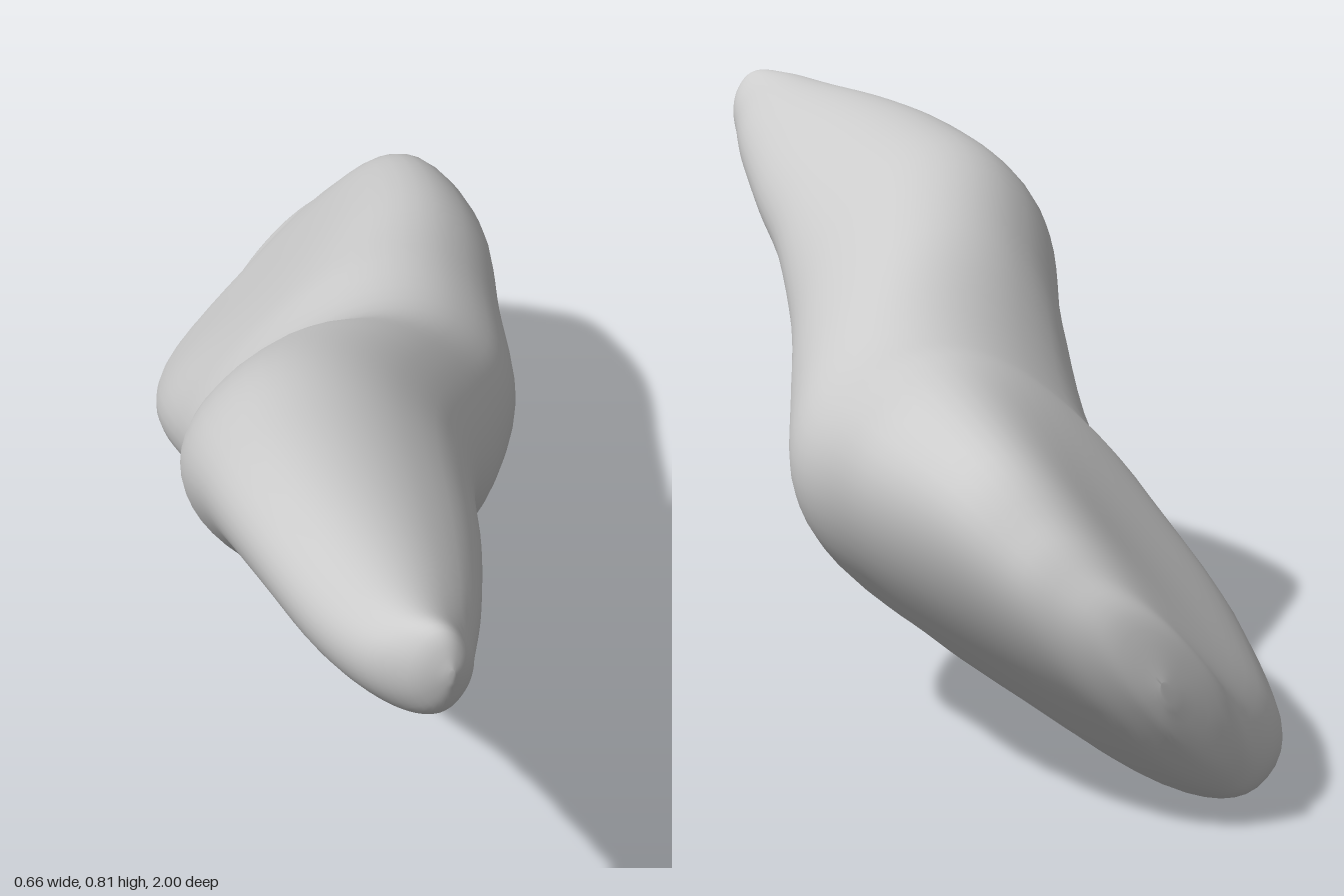
import * as THREE from 'three';

// Cross-sections from biting edge to root tip:
// z, x min, x max, y min, y max, thickness / width, hollow of the inner face
const SECTIONS = [
  [-1.0, 0.09, 0.11, 0.17, 0.20, 0.6, 0],
  [-0.985, 0.0, 0.17, 0.09, 0.28, 0.42, 0],
  [-0.95, -0.05, 0.22, 0.04, 0.33, 0.40, 0.05],
  [-0.9, -0.11, 0.265, 0.015, 0.385, 0.42, 0.12],
  [-0.8, -0.17, 0.31, 0.0, 0.46, 0.47, 0.18],
  [-0.6, -0.21, 0.325, 0.04, 0.51, 0.60, 0.18],
  [-0.4, -0.21, 0.295, 0.08, 0.527, 0.74, 0.10],
  [-0.2, -0.21, 0.265, 0.13, 0.54, 0.92, 0.06],
  [0.0, -0.25, 0.185, 0.21, 0.65, 1.2, 0],
  [0.2, -0.325, 0.10, 0.33, 0.735, 1.27, 0],
  [0.4, -0.33, 0.04, 0.47, 0.77, 1.3, 0],
  [0.6, -0.315, -0.005, 0.55, 0.79, 1.28, 0],
  [0.8, -0.285, -0.06, 0.61, 0.80, 1.15, 0],
  [0.92, -0.25, -0.10, 0.65, 0.807, 1.1, 0],
  [0.98, -0.20, -0.12, 0.685, 0.805, 1, 0],
  [1.0, -0.155, -0.145, 0.74, 0.76, 1, 0],
];
const SIDES = 48, STEPS = 5;

// Smooth interpolation of one column of the section table
function sample(t, column) {
  const last = SECTIONS.length - 1;
  const i = Math.min(Math.floor(t), last - 1), f = t - i;
  const at = (k) => SECTIONS[Math.max(0, Math.min(last, k))][column];
  const p0 = at(i), p1 = at(i + 1);
  const m0 = (p1 - at(i - 1)) / 2, m1 = (at(i + 2) - p0) / 2;
  const f2 = f * f, f3 = f2 * f;
  return (2 * f3 - 3 * f2 + 1) * p0 + (f3 - 2 * f2 + f) * m0 + (3 * f2 - 2 * f3) * p1 + (f3 - f2) * m1;
}

// A rounded section turned 45 degrees and fitted to its bounds
function ring(t) {
  const [z, x0, x1, y0, y1, ratio, hollow] = SECTIONS[0].map((_, c) => sample(t, c));
  const points = [];
  const box = new THREE.Box2();
  for (let j = 0; j < SIDES; j++) {
    const a = (j / SIDES) * Math.PI * 2;
    const blunt = (v) => Math.sign(v) * Math.pow(Math.abs(v), 0.9);
    const u = blunt(Math.cos(a));
    let v = ratio * blunt(Math.sin(a));
    if (v > 0) v -= hollow * Math.pow(Math.sin(a), 3);
    const p = new THREE.Vector2(u - v, u + v);
    box.expandByPoint(p);
    points.push(p);
  }
  const size = box.getSize(new THREE.Vector2());
  return points.map((p) => [
    x0 + ((p.x - box.min.x) / size.x) * (x1 - x0),
    y0 + ((p.y - box.min.y) / size.y) * (y1 - y0),
    z,
  ]);
}

export function createModel() {
  const positions = [], indices = [];
  const rings = (SECTIONS.length - 1) * STEPS + 1;
  for (let i = 0; i < rings; i++) {
    for (const p of ring(i / STEPS)) positions.push(...p);
  }
  // Skin between neighbouring rings
  for (let i = 0; i < rings - 1; i++) {
    for (let j = 0; j < SIDES; j++) {
      const k = (j + 1) % SIDES;
      const a = i * SIDES + j, b = i * SIDES + k;
      indices.push(a, b, a + SIDES, b, b + SIDES, a + SIDES);
    }
  }
  // Small closing caps
  const end = (rings - 1) * SIDES;
  for (let j = 1; j < SIDES - 1; j++) {
    indices.push(0, j + 1, j, end, end + j, end + j + 1);
  }

  const geometry = new THREE.BufferGeometry();
  geometry.setAttribute('position', new THREE.Float32BufferAttribute(positions, 3));
  geometry.setIndex(indices);
  geometry.computeVertexNormals();

  const tooth = new THREE.Mesh(geometry, new THREE.MeshStandardMaterial({ color: 0xcccccc }));
  tooth.name = 'toothCrownAndRoot';
  const group = new THREE.Group();
  group.name = 'tooth';
  group.add(tooth);
  return group;
}
